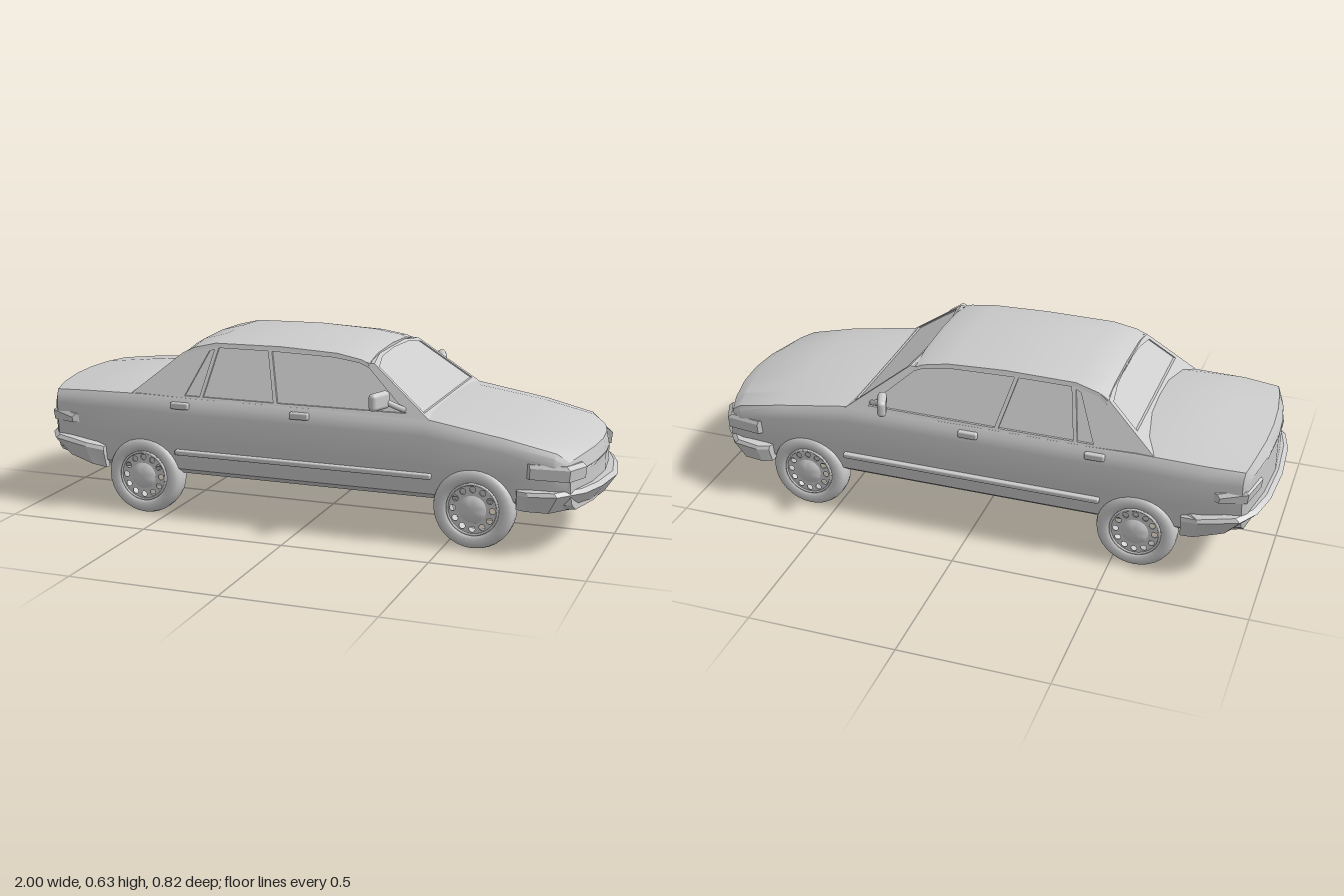
import * as THREE from 'three';
import { toCreasedNormals } from 'three/addons/utils/BufferGeometryUtils.js';
import { RoundedBoxGeometry } from 'three/addons/geometries/RoundedBoxGeometry.js';

const mat = new THREE.MeshStandardMaterial({ color: 0xcccccc });

// Turns a closed geometry outward and gives it creased normals
function finish(geo, crease = 0.5) {
  const g = geo.index ? geo.toNonIndexed() : geo;
  g.deleteAttribute('uv');
  const p = g.attributes.position, a = new THREE.Vector3(), b = new THREE.Vector3(), c = new THREE.Vector3();
  let volume = 0;
  for (let i = 0; i < p.count; i += 3) {
    a.fromBufferAttribute(p, i); b.fromBufferAttribute(p, i + 1); c.fromBufferAttribute(p, i + 2);
    volume += a.dot(b.cross(c));
  }
  if (volume < 0) {
    for (let i = 0; i < p.count; i += 3) {
      b.fromBufferAttribute(p, i + 1); c.fromBufferAttribute(p, i + 2);
      p.setXYZ(i + 1, c.x, c.y, c.z); p.setXYZ(i + 2, b.x, b.y, b.z);
    }
  }
  g.computeVertexNormals();
  return toCreasedNormals(g, crease);
}

function add(parent, name, geo) {
  const m = new THREE.Mesh(geo, mat);
  m.name = name;
  parent.add(m);
  return m;
}

// Skins a row of closed rings of [x, y, z] points and caps both ends
function loft(rings, crease) {
  const n = rings[0].length, idx = [];
  for (let r = 0; r < rings.length - 1; r++) {
    for (let i = 0; i < n; i++) {
      const a = r * n + i, b = r * n + (i + 1) % n;
      idx.push(a, b, b + n, a, b + n, a + n);
    }
  }
  const last = (rings.length - 1) * n;
  for (let i = 1; i < n - 1; i++) idx.push(0, i + 1, i, last, last + i, last + i + 1);
  const g = new THREE.BufferGeometry();
  g.setAttribute('position', new THREE.Float32BufferAttribute(rings.flat(2), 3));
  g.setIndex(idx);
  return finish(g, crease);
}

// Completes a half ring that starts and ends on the centre line
const mirrorRing = half => [...half, ...half.slice(1, -1).reverse().map(([x, y, z]) => [x, y, -z])];

// Wraparound band: path points are [x, z, top, bottom]
function band(path, cx, chamfer) {
  const d = Math.sign(cx);
  return loft(path.map(([x, z, t, b]) => {
    const f = Math.min(1, Math.max(0, (Math.abs(x) - 0.72) / 0.2));
    const at = (k, y) => [x - d * k * f, y, z * (1 - k)];
    return [at(0.015, t), at(0, t - 0.012), at(chamfer, b), at(0.1, b), at(0.1, t)];
  }), 0.4);
}

// Framed window panel: a plate with openings and glass set behind it
function panel(parent, name, outline, openings, place) {
  const make = (pts, holes, depth, back) => {
    const shape = new THREE.Shape(pts.map(p => new THREE.Vector2(...p)));
    for (const h of holes) shape.holes.push(new THREE.Path(h.map(p => new THREE.Vector2(...p))));
    const g = new THREE.ExtrudeGeometry(shape, { depth, bevelEnabled: false });
    const p = g.attributes.position;
    for (let i = 0; i < p.count; i++) p.setXYZ(i, ...place(p.getX(i), p.getY(i), p.getZ(i) - back));
    return finish(g, 0.3);
  };
  add(parent, name + 'Frame', make(outline, openings, 0.012, 0.012));
  add(parent, name + 'Glass', make(outline, [], 0.004, 0.012));
}

const sideZ = y => 0.318 - (y - 0.42) * 0.45;

function makeWheel() {
  const wheel = new THREE.Group();
  // Tyre, turned around the axle
  const tyre = [[0.086, 0.26], [0.122, 0.26], [0.133, 0.268], [0.136, 0.285], [0.136, 0.312],
    [0.131, 0.328], [0.118, 0.337], [0.1, 0.337], [0.09, 0.333], [0.086, 0.326], [0.086, 0.26]];
  const t = new THREE.LatheGeometry(tyre.map(p => new THREE.Vector2(...p)), 32);
  add(wheel, 'tyre', finish(t.rotateX(Math.PI / 2), 0.7));
  // Pierced rim disc
  const disc = new THREE.Shape().absarc(0, 0, 0.088, 0, Math.PI * 2);
  for (let i = 0; i < 12; i++) {
    const a = i * Math.PI / 6;
    disc.holes.push(new THREE.Path().absarc(Math.cos(a) * 0.066, Math.sin(a) * 0.066, 0.01, 0, Math.PI * 2));
  }
  const d = new THREE.ExtrudeGeometry(disc, { depth: 0.004, bevelEnabled: false, curveSegments: 10 });
  add(wheel, 'rimDisc', finish(d.translate(0, 0, 0.328)));
  add(wheel, 'rimRing', new THREE.TorusGeometry(0.084, 0.004, 8, 32).translate(0, 0, 0.333));
  // Domed hub cap
  const hub = [[0, 0.344], [0.02, 0.343], [0.036, 0.339], [0.046, 0.332], [0.046, 0.326], [0, 0.326]];
  const h = new THREE.LatheGeometry(hub.map(p => new THREE.Vector2(...p)), 24);
  add(wheel, 'hubCap', finish(h.rotateX(Math.PI / 2), 0.7));
  return wheel;
}

export function createModel() {
  const car = new THREE.Group();
  car.name = 'car';

  // Lower body: [x, bottom, shoulder, top, half width, bow of the ends]
  const stations = [
    [-0.975, 0.22, 0.38, 0.395, 0, -0.05], [-0.975, 0.22, 0.38, 0.395, 0.16, -0.05],
    [-0.975, 0.22, 0.38, 0.395, 0.3, -0.05], [-0.955, 0.19, 0.413, 0.432, 0.32, -0.04],
    [-0.8, 0.16, 0.42, 0.45, 0.335, 0], [-0.57, 0.15, 0.424, 0.474, 0.335, 0],
    [-0.4, 0.15, 0.42, 0.44, 0.335, 0], [0, 0.15, 0.42, 0.425, 0.335, 0],
    [0.43, 0.15, 0.418, 0.428, 0.335, 0], [0.7, 0.15, 0.375, 0.393, 0.333, 0.01],
    [0.9, 0.15, 0.338, 0.355, 0.322, 0.05], [0.95, 0.15, 0.31, 0.325, 0.305, 0.07],
    [0.96, 0.15, 0.27, 0.28, 0.3, 0.07], [0.96, 0.15, 0.27, 0.28, 0.15, 0.07], [0.96, 0.15, 0.27, 0.28, 0, 0.07],
  ];
  add(car, 'body', loft(stations.map(([x, yb, ys, yt, w, bow]) => mirrorRing([
    [0, yb], [0.88, yb], [0.955, yb + 0.02], [0.982, yb + (ys - yb) * 0.42], [1, ys - (ys - yb) * 0.2],
    [0.985, ys - (ys - yb) * 0.08], [0.95, ys], [0.72, ys + (yt - ys) * 0.6], [0.35, ys + (yt - ys) * 0.93], [0, yt],
  ].map(([k, y]) => [x - bow * (k * w / 0.33) ** 2, y, k * w]))), 0.5));

  // Roof: [x, centre height, edge height]
  const roof = [[-0.45, 0.585, 0.563], [-0.42, 0.604, 0.583], [-0.34, 0.625, 0.602], [-0.1, 0.63, 0.605],
    [0.1, 0.62, 0.597], [0.19, 0.606, 0.582], [0.215, 0.597, 0.571]];
  add(car, 'roof', loft(roof.map(([x, yc, ye]) => {
    const w = sideZ(ye) + 0.002;
    return mirrorRing([[x, ye - 0.012, 0], [x, ye - 0.012, w + 0.004], [x, ye, w],
      [x, ye + (yc - ye) * 0.75, w * 0.62], [x, yc, 0]]);
  }), 0.35));

  // Windscreen and rear window
  const screen = (yb, yt, yc, inset) => [[-sideZ(yb) + inset, yb], [sideZ(yb) - inset, yb],
    [sideZ(yt) - inset, yt], [0.14, yc - 0.004], [0, yc], [-0.14, yc - 0.004], [-sideZ(yt) + inset, yt]];
  panel(car, 'windscreen', screen(0.41, 0.573, 0.59, 0), [screen(0.432, 0.562, 0.582, 0.016)],
    (z, y, w) => [0.43 - (y - 0.425) * 1.333 + w, y, z]);
  panel(car, 'rearWindow', screen(0.42, 0.565, 0.578, 0), [screen(0.48, 0.555, 0.57, 0.02)],
    (z, y, w) => [-0.57 + (y - 0.47) * 1.2 - w, y, z]);

  // Parts on both sides
  const outline = [[-0.63, 0.42], [-0.57, 0.47], [-0.455, 0.565], [-0.42, 0.583], [-0.34, 0.6], [-0.1, 0.603],
    [0.1, 0.595], [0.19, 0.58], [0.235, 0.568], [0.44, 0.415]];
  const windows = [
    [[-0.425, 0.428], [-0.37, 0.428], [-0.342, 0.582], [-0.36, 0.575]],
    [[-0.357, 0.428], [-0.1, 0.428], [-0.146, 0.588], [-0.327, 0.587]],
    [[-0.086, 0.428], [0.365, 0.43], [0.215, 0.56], [0.18, 0.572], [0.09, 0.583], [-0.132, 0.588]],
  ];
  for (const s of [1, -1]) {
    const side = new THREE.Group();
    side.name = s > 0 ? 'leftSide' : 'rightSide';
    car.add(side);
    panel(side, 'sideWindow', outline, windows, (x, y, w) => [x, y, s * (sideZ(y) + w)]);

    add(side, 'headlight', band([[0.942, 0.235, 0.3, 0.25], [0.905, 0.315, 0.3, 0.25],
      [0.78, 0.338, 0.303, 0.255]].map(([x, z, t, b]) => [x, s * z, t, b]), 1, 0.004));
    add(side, 'tailLight', band([[-0.963, 0.2, 0.35, 0.305], [-0.938, 0.312, 0.35, 0.305],
      [-0.85, 0.339, 0.335, 0.305]].map(([x, z, t, b]) => [x, s * z, t, b]), -1, 0.004));

    add(side, 'sideMoulding', new RoundedBoxGeometry(0.91, 0.018, 0.022, 2, 0.005).translate(0, 0.232, s * 0.333));
    for (const x of [-0.435, 0]) {
      add(side, 'doorHandle', new RoundedBoxGeometry(0.068, 0.024, 0.02, 2, 0.006).translate(x, 0.396, s * 0.334));
    }

    // Door mirror on a bent arm
    const arm = new THREE.CatmullRomCurve3([[0.355, 0.438, 0.3], [0.34, 0.45, 0.322], [0.3, 0.472, 0.342]]
      .map(([x, y, z]) => new THREE.Vector3(x, y, s * z)));
    add(side, 'mirrorArm', new THREE.TubeGeometry(arm, 8, 0.01, 8));
    const head = add(side, 'mirrorHead', new RoundedBoxGeometry(0.03, 0.058, 0.088, 4, 0.014));
    head.position.set(0.289, 0.477, s * 0.367);
    head.rotation.y = -s * 0.35;

    for (const [name, x] of [['frontWheel', 0.595], ['rearWheel', -0.58]]) {
      const wheel = makeWheel();
      wheel.name = name;
      wheel.position.set(x, 0.136, 0);
      if (s < 0) wheel.rotation.y = Math.PI;
      side.add(wheel);
    }
  }

  // Bumpers
  const both = half => [...half.slice(1).reverse().map(([x, z, t, b]) => [x, -z, t, b]), ...half];
  add(car, 'frontBumper', band(both([[1, 0, 0.217, 0.145], [0.978, 0.15, 0.217, 0.145], [0.945, 0.25, 0.217, 0.145],
    [0.87, 0.342, 0.217, 0.147], [0.78, 0.357, 0.215, 0.15], [0.74, 0.342, 0.213, 0.15]]), 1, 0.04));
  add(car, 'rearBumper', band(both([[-1, 0, 0.262, 0.19], [-0.99, 0.17, 0.262, 0.19], [-0.965, 0.27, 0.26, 0.19],
    [-0.92, 0.335, 0.255, 0.183], [-0.79, 0.36, 0.24, 0.163], [-0.73, 0.342, 0.228, 0.15]]), -1, 0.05));
  return car;
}
